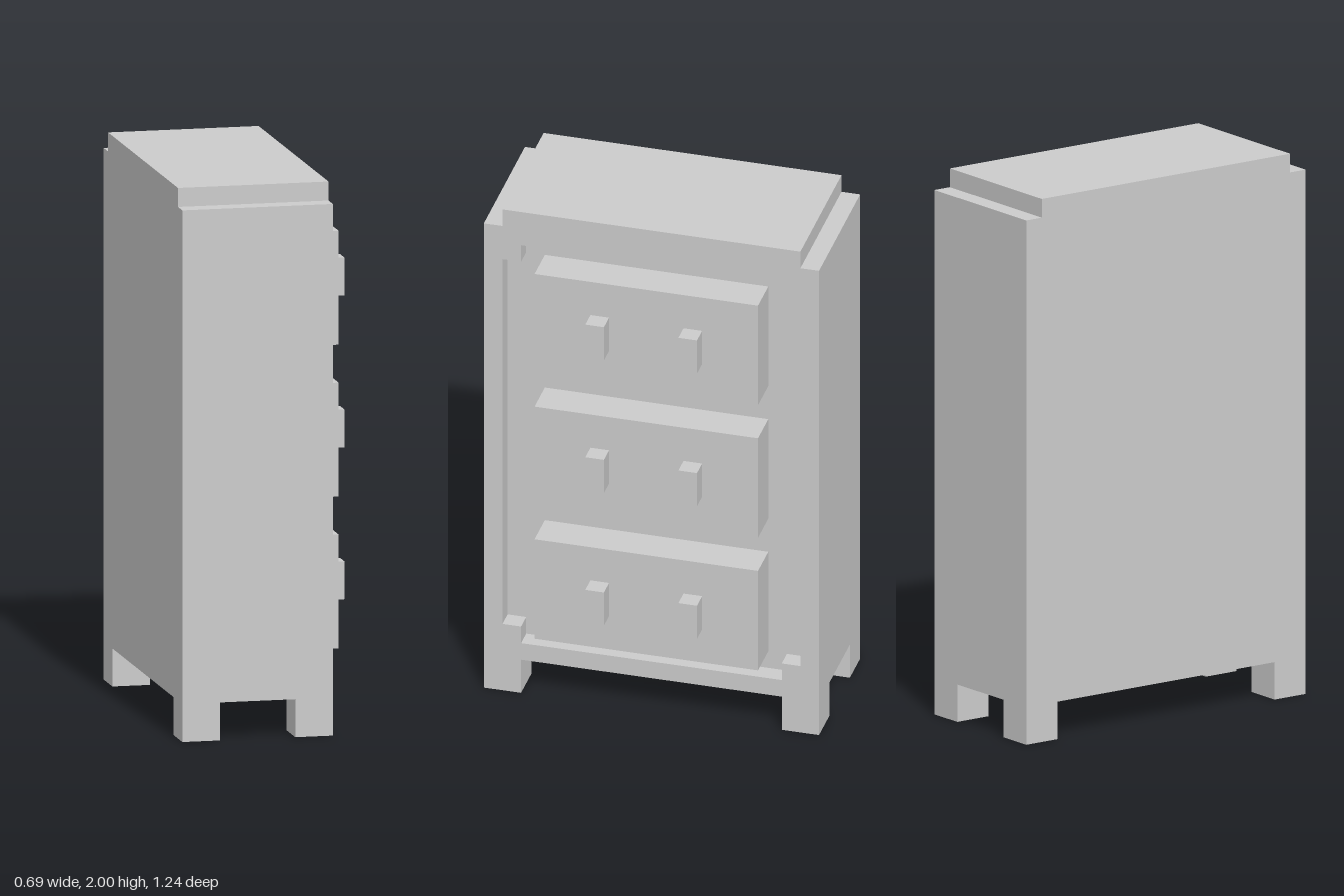
import * as THREE from 'three';

const U = 2 / 29; // block unit: the whole cabinet sits on this grid

export function createModel() {
  const model = new THREE.Group();
  model.name = 'chestOfDrawers';
  const material = new THREE.MeshStandardMaterial({ color: 0xcccccc, flatShading: true });

  const add = (name, geometry, parent = model) => {
    const mesh = new THREE.Mesh(geometry, material);
    mesh.name = name;
    parent.add(mesh);
    return mesh;
  };

  // Box given by its limits in block units
  const box = (name, [x0, x1], [y0, y1], [z0, z1], parent) => {
    const mesh = add(name, new THREE.BoxGeometry((x1 - x0) * U, (y1 - y0) * U, (z1 - z0) * U), parent);
    mesh.position.set((x0 + x1) / 2 * U, (y0 + y1) / 2 * U, (z0 + z1) / 2 * U);
  };

  const points = (list) => list.map(([z, y]) => new THREE.Vector2(z * U, y * U));

  // Slab with a z-y outline, extruded along x
  const slab = (name, shape, x0, x1) => {
    const geometry = new THREE.ExtrudeGeometry(shape, { depth: (x1 - x0) * U, bevelEnabled: false });
    geometry.rotateY(Math.PI / 2);
    add(name, geometry).position.x = x0 * U;
  };

  // Case outline with stepped top corners
  const outline = points([[-9, 2], [9, 2], [9, 28], [8, 28], [8, 29], [-8, 29], [-8, 28], [-9, 28]]);
  slab('cabinetBody', new THREE.Shape(outline), -5, 2);

  // Face frame around the recess, whose corners are notched
  const frame = new THREE.Shape(outline);
  frame.holes.push(new THREE.Path(points([
    [-7, 3], [-7, 4], [-8, 4], [-8, 26], [-7, 26], [-7, 27],
    [7, 27], [7, 26], [8, 26], [8, 4], [7, 4], [7, 3],
  ])));
  slab('faceFrame', frame, 2, 3);

  // Four square feet
  for (const x of [-5, 1]) {
    for (const z of [-9, 7]) box('foot', [x, x + 2], [0, 2], [z, z + 2]);
  }

  // Three drawers, each with two handles
  for (const y of [4, 12, 20]) {
    const drawer = new THREE.Group();
    drawer.name = 'drawer';
    model.add(drawer);
    box('drawerFront', [2, 4], [y, y + 6], [-6, 6], drawer);
    for (const z of [-3, 2]) box('handle', [4, 5], [y + 2, y + 4], [z, z + 1], drawer);
  }

  return model;
}
